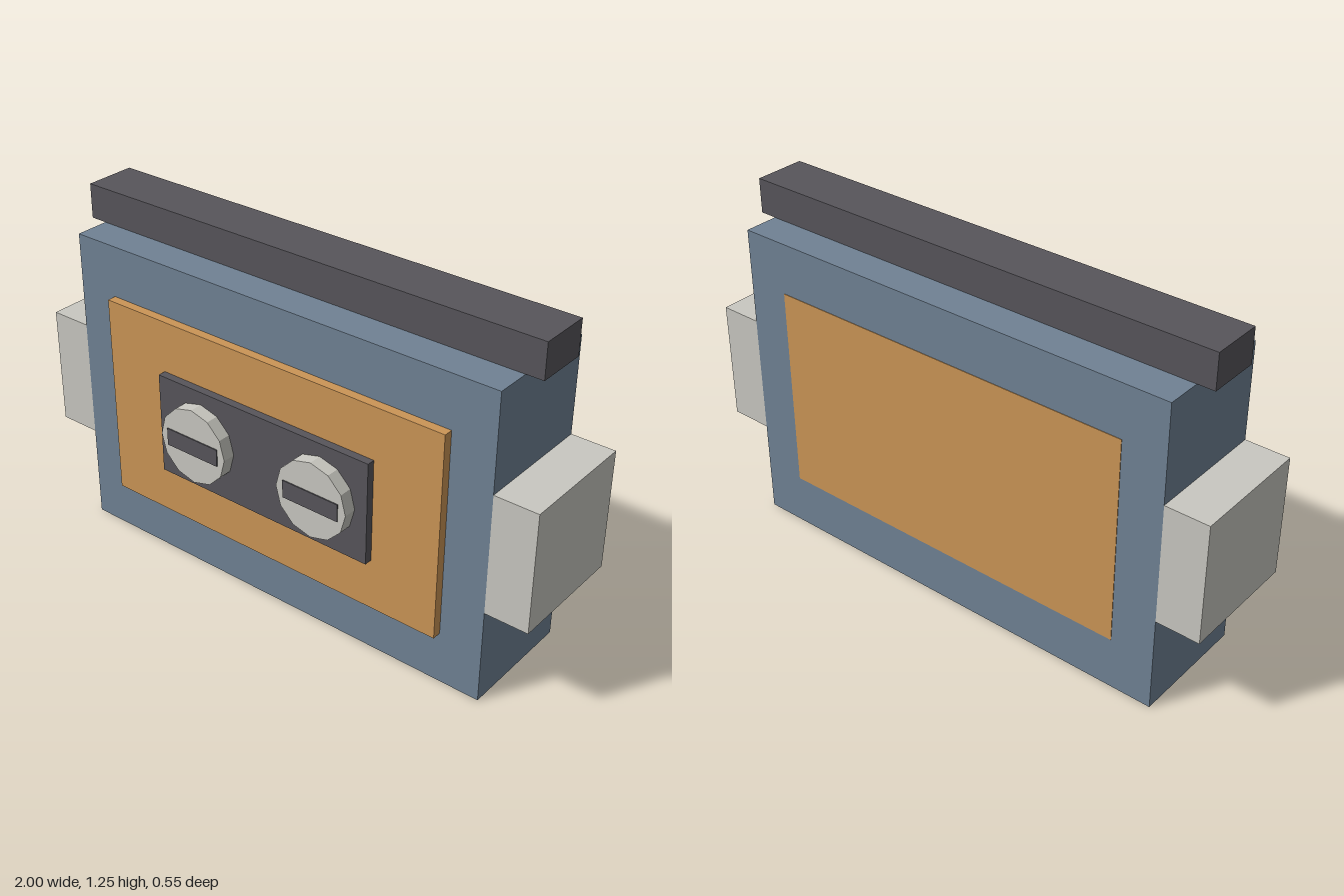
import * as THREE from 'three';

const paint = (name, color) => {
  const m = new THREE.MeshStandardMaterial({ color });
  m.name = name;
  return m;
};

export function createModel() {
  const slate = paint('slate blue', 0x708294);
  const copper = paint('copper', 0xcb9556);
  const dark = paint('dark grey', 0x57555b);
  const pale = paint('pale grey', 0xc9c8c1);

  const model = new THREE.Group();
  model.name = 'terminalBox';

  const add = (name, geometry, material, x, y, z, parent = model) => {
    const mesh = new THREE.Mesh(geometry, material);
    mesh.name = name;
    mesh.position.set(x, y, z);
    parent.add(mesh);
    return mesh;
  };
  // Box given by its lower and upper limits on each axis
  const box = (name, material, [x0, x1], [y0, y1], [z0, z1], parent) =>
    add(name, new THREE.BoxGeometry(x1 - x0, y1 - y0, z1 - z0), material,
      (x0 + x1) / 2, (y0 + y1) / 2, (z0 + z1) / 2, parent);

  // Main case and the bar on top
  box('body', slate, [-0.844, 0.844], [0, 1.127], [-0.275, 0.163]);
  box('topBar', dark, [-0.906, 0.906], [1.127, 1.252], [-0.15, 0.038]);

  // Front and back panels
  box('frontPanel', copper, [-0.688, 0.688], [0.19, 0.94], [0.163, 0.196]);
  box('backPanel', copper, [-0.688, 0.688], [0.19, 0.94], [-0.277, -0.272]);
  box('controlPlate', dark, [-0.437, 0.437], [0.377, 0.752], [0.196, 0.225]);

  // Side blocks and slotted screws, one of each per side
  const screwGeometry = new THREE.CylinderGeometry(0.14, 0.14, 0.047, 12).rotateX(Math.PI / 2).toNonIndexed();
  screwGeometry.computeVertexNormals();
  for (const [side, s] of [['left', 1], ['right', -1]]) {
    const limits = [0.844 * s, s].sort((a, b) => a - b);
    box(side + 'Block', pale, limits, [0.347, 0.78], [-0.275, 0.163]);

    const screw = new THREE.Group();
    screw.name = side + 'Screw';
    screw.position.set(0.25 * s, 0.565, 0);
    add('screwHead', screwGeometry, pale, 0, 0, 0.2485, screw);
    box('screwSlot', dark, [-0.11, 0.11], [-0.032, 0.032], [0.268, 0.276], screw);
    model.add(screw);
  }
  return model;
}
